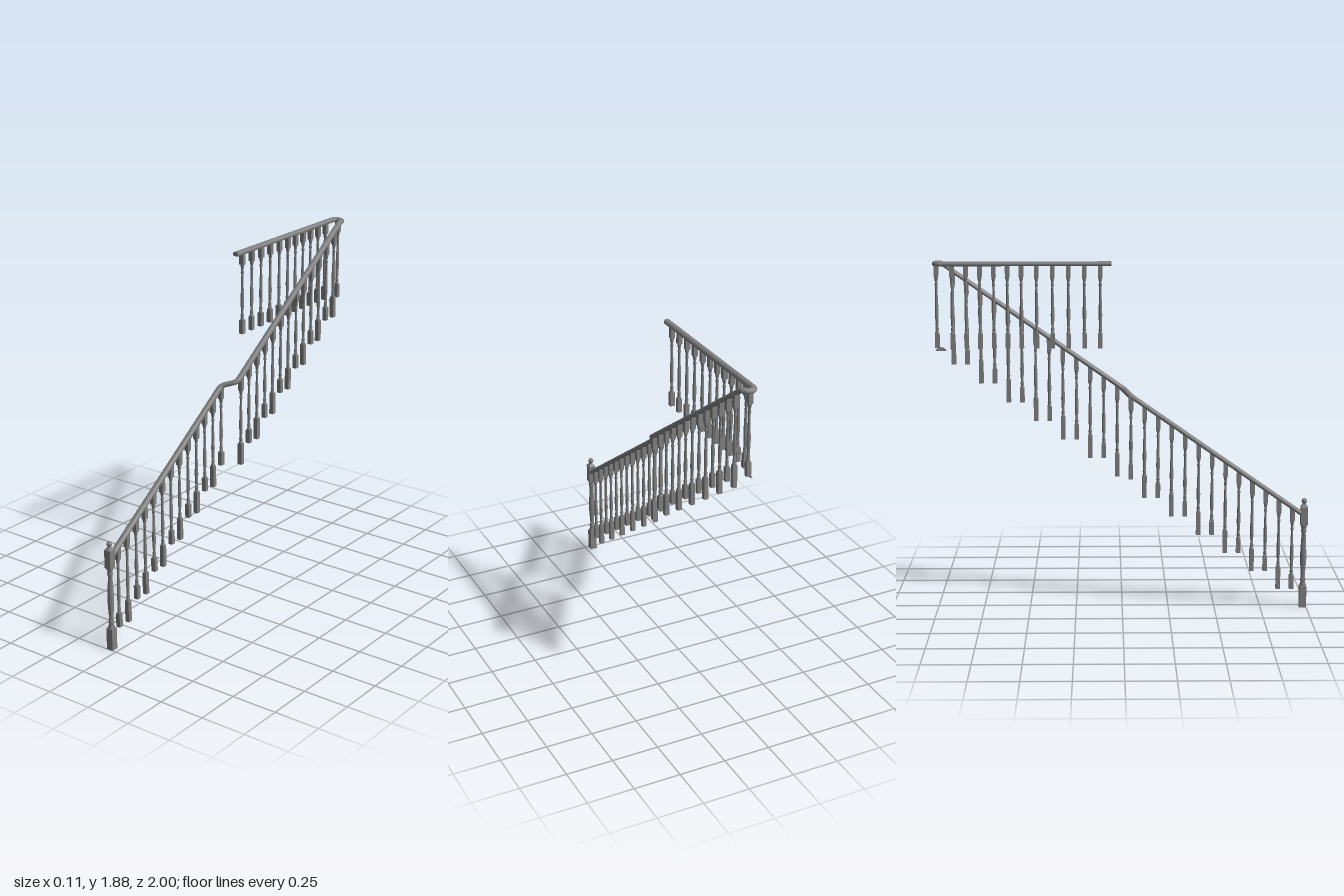
import * as THREE from 'three';
import { toCreasedNormals } from 'three/addons/utils/BufferGeometryUtils.js';

const material = new THREE.MeshStandardMaterial({ color: 0x808080 });
const LEFT_X = 0.038, RIGHT_X = -0.04, TOP_X = -0.02, TOP_Y = 1.868;
const railY = (z) => Math.min(TOP_Y, 1.2 - 0.7 * z);

function addMesh(parent, name, geometry, x = 0, y = 0, z = 0) {
  const mesh = new THREE.Mesh(geometry, material);
  mesh.name = name;
  mesh.position.set(x, y, z);
  parent.add(mesh);
}

// Turned spindle: profile pairs are [radius, fraction of height]
function turned(profile, height, sides) {
  const points = profile.map(([r, t]) => new THREE.Vector2(r, t * height));
  return toCreasedNormals(new THREE.LatheGeometry(points, sides), 0.7);
}

const TURN = 0.305;
const spindleGeometry = turned([
  [0.011, 0], [0.011, 0.02], [0.007, 0.05], [0.010, 0.08], [0.007, 0.12],
  [0.008, 0.2], [0.010, 0.32], [0.0095, 0.42], [0.0075, 0.6], [0.006, 0.82],
  [0.009, 0.86], [0.006, 0.9], [0.009, 0.95], [0.011, 0.98], [0.011, 1],
], TURN, 10);

// Square block below, turned middle, square block up into the rail
function addBaluster(parent, x, z, bottom, top, blockHeight) {
  const g = new THREE.Group();
  g.name = 'baluster';
  g.position.set(x, bottom, z);
  const w = 0.024, upperStart = blockHeight + TURN, upper = top - bottom - upperStart;
  addMesh(g, 'lowerBlock', new THREE.BoxGeometry(w, blockHeight, w), 0, blockHeight / 2, 0);
  addMesh(g, 'spindle', spindleGeometry, 0, blockHeight, 0);
  addMesh(g, 'upperBlock', new THREE.BoxGeometry(w, upper, w), 0, upperStart + upper / 2, 0);
  parent.add(g);
}

// Sweep a rail section along a path, keeping it upright
function sweepRail(path, section) {
  const n = section.length, positions = [], index = [];
  const up = new THREE.Vector3(0, 1, 0);
  path.forEach((p, i) => {
    const before = path[Math.max(i - 1, 0)], after = path[Math.min(i + 1, path.length - 1)];
    const a = p.clone().sub(before).normalize(), b = after.clone().sub(p).normalize();
    const tangent = a.add(b).normalize();
    const side = new THREE.Vector3().crossVectors(tangent, up).normalize();
    const lift = new THREE.Vector3().crossVectors(side, tangent);
    for (const [u, v] of section) {
      const q = p.clone().addScaledVector(side, u).addScaledVector(lift, v);
      positions.push(q.x, q.y, q.z);
    }
  });
  for (let i = 0; i < path.length - 1; i++) {
    for (let j = 0; j < n; j++) {
      const a = i * n + j, b = i * n + (j + 1) % n;
      index.push(a, b + n, b, a, a + n, b + n);
    }
  }
  // End caps
  const last = (path.length - 1) * n;
  for (let j = 1; j < n - 1; j++) {
    index.push(0, j, j + 1, last, last + j + 1, last + j);
  }
  const geometry = new THREE.BufferGeometry();
  geometry.setAttribute('position', new THREE.Float32BufferAttribute(positions, 3));
  geometry.setIndex(index);
  return toCreasedNormals(geometry, 0.7);
}

function railPath() {
  const path = [];
  const add = (x, z) => path.push(new THREE.Vector3(x, railY(z), z));
  // Lower flight, sideways ease, upper flight
  add(RIGHT_X, 0.97);
  const ease = [
    [RIGHT_X, 0.066], [-0.038, 0.052], [-0.030, 0.041], [-0.018, 0.034],
    [0.013, 0.019], [0.027, 0.011], [0.035, 0], [LEFT_X, -0.016],
  ];
  ease.forEach(([x, z]) => add(x, z));
  // Half-circle return onto the level rail
  const mid = (LEFT_X + TOP_X) / 2, r = (LEFT_X - TOP_X) / 2;
  for (let i = 0; i <= 12; i++) {
    const a = i / 12 * Math.PI;
    add(mid + r * Math.cos(a), -0.955 - r * Math.sin(a));
  }
  path.push(new THREE.Vector3(TOP_X, TOP_Y, -0.055));
  return path;
}

function newelPost() {
  const g = new THREE.Group();
  g.name = 'newelPost';
  g.position.set(RIGHT_X, 0, 0.981);
  const w = 0.038;
  addMesh(g, 'newelBase', new THREE.BoxGeometry(w, 0.12, w), 0, 0.06, 0);
  addMesh(g, 'newelShaft', turned([
    [0.018, 0], [0.018, 0.02], [0.012, 0.06], [0.016, 0.1], [0.011, 0.15], [0.013, 0.25],
    [0.017, 0.42], [0.017, 0.52], [0.014, 0.7], [0.011, 0.86], [0.016, 0.9],
    [0.012, 0.94], [0.018, 0.98], [0.018, 1],
  ], 0.34, 14), 0, 0.12, 0);
  addMesh(g, 'newelBlock', new THREE.BoxGeometry(w, 0.1, w), 0, 0.51, 0);
  // Tapered cap and ball finial
  const cap = new THREE.CylinderGeometry(0.011, w / Math.SQRT2, 0.015, 4).rotateY(Math.PI / 4);
  addMesh(g, 'newelCap', toCreasedNormals(cap, 0.3), 0, 0.5675, 0);
  addMesh(g, 'finialNeck', new THREE.CylinderGeometry(0.008, 0.011, 0.014, 12), 0, 0.579, 0);
  addMesh(g, 'finialBall', new THREE.SphereGeometry(0.015, 14, 10), 0, 0.592, 0);
  return g;
}

export function createModel() {
  const model = new THREE.Group();
  model.name = 'stairRailing';
  model.add(newelPost());

  const section = [
    [-0.013, -0.012], [0.013, -0.012], [0.0165, -0.005], [0.0165, 0.003],
    [0.012, 0.009], [0.005, 0.012], [-0.005, 0.012], [-0.012, 0.009],
    [-0.0165, 0.003], [-0.0165, -0.005],
  ];
  addMesh(model, 'handrail', sweepRail(railPath(), section));

  // Stair balusters, two per tread
  const stairs = new THREE.Group();
  stairs.name = 'stairBalusters';
  for (let i = 0; i < 26; i++) {
    const z = 0.918 - 0.0726 * i;
    const bottom = 0.102 * (1 + Math.floor(i / 2));
    addBaluster(stairs, i < 13 ? RIGHT_X : LEFT_X, z, bottom, railY(z), i % 2 ? 0.12 : 0.075);
  }
  model.add(stairs);

  // Landing balusters, closer together toward the turn
  const landing = new THREE.Group();
  landing.name = 'landingBalusters';
  for (let i = 0; i < 11; i++) {
    const z = i < 5 ? -0.115 - 0.084 * i : -0.531 - 0.0728 * (i - 5);
    addBaluster(landing, TOP_X, z, 1.42, TOP_Y, 0.075);
  }
  addBaluster(landing, 0.009, -0.98, 1.42, TOP_Y, 0.075);
  model.add(landing);

  // Thin half-round plate under the turn
  const plate = new THREE.Shape();
  plate.moveTo(-0.03, 0);
  plate.lineTo(0.03, 0);
  plate.quadraticCurveTo(0.02, 0.02, 0, 0.02);
  plate.quadraticCurveTo(-0.02, 0.02, -0.03, 0);
  const plateGeometry = new THREE.ExtrudeGeometry(plate, { depth: 0.006, bevelEnabled: false });
  addMesh(model, 'turnPlate', plateGeometry.rotateY(Math.PI / 2), -0.011, 1.405, -0.96);

  return model;
}
